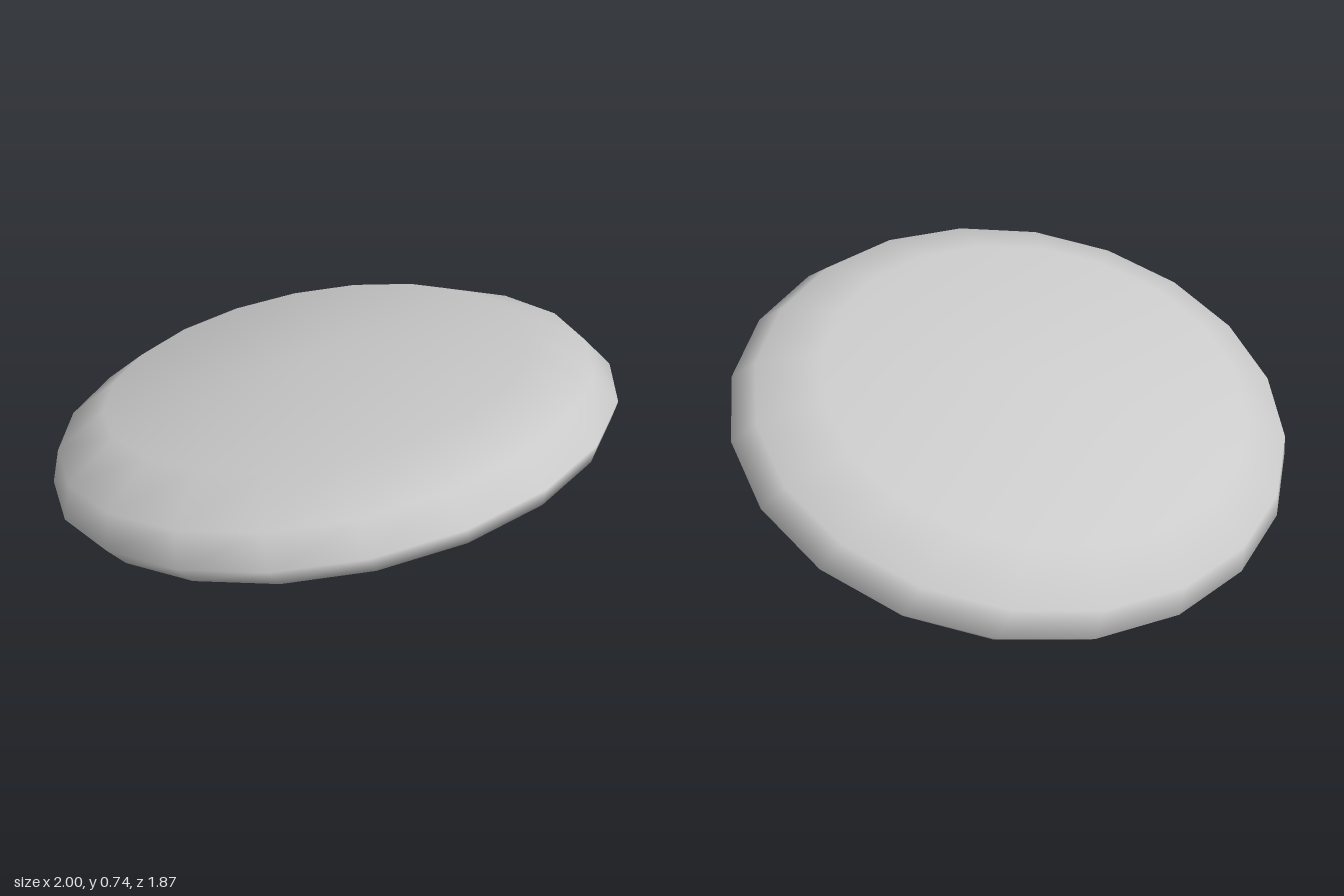
import * as THREE from 'three';

const SIDES = 20;

// Tilted elliptical rings from the stem's foot to the cap's top:
// [half width in x, front z, front y, back z, back y]
const RINGS = [
  [0.345, 0.27, 0.015, -0.38, 0.0],   // open foot
  [0.385, 0.38, 0.2, -0.33, 0.1],     // stem
  [0.46, 0.45, 0.43, -0.4, 0.16],     // neck
  [0.62, 0.65, 0.49, -0.52, 0.2],     // flare under the cap
  [0.95, 0.93, 0.56, -0.86, 0.125],   // lower rim
  [1.0, 0.94, 0.625, -0.93, 0.185],   // widest rim
  [0.945, 0.84, 0.7, -0.93, 0.29],    // upper rim
  [0.745, 0.61, 0.74, -0.8, 0.42],    // shoulder
];
const TOP = [0, 0.625, -0.13];
const LOWER_RIM = 4;

export function createModel() {
  const positions = [];
  for (const [rx, zf, yf, zb, yb] of RINGS) {
    for (let j = 0; j < SIDES; j++) {
      const a = (j / SIDES) * Math.PI * 2;
      const t = (1 + Math.cos(a)) / 2; // 1 at the front, 0 at the back
      positions.push(rx * Math.sin(a), yb + (yf - yb) * t, zb + (zf - zb) * t);
    }
  }
  positions.push(...TOP);

  // Wall of quads between neighbouring rings
  const wall = (from, to) => {
    const index = [];
    for (let i = from; i < to; i++) {
      for (let j = 0; j < SIDES; j++) {
        const k = (j + 1) % SIDES;
        const a = i * SIDES + j, b = i * SIDES + k;
        index.push(a, b, b + SIDES, a, b + SIDES, a + SIDES);
      }
    }
    return index;
  };
  const last = RINGS.length - 1;
  const stemIndex = wall(0, LOWER_RIM);
  const capIndex = wall(LOWER_RIM, last);
  for (let j = 0; j < SIDES; j++) {
    capIndex.push(last * SIDES + j, last * SIDES + ((j + 1) % SIDES), RINGS.length * SIDES);
  }

  // Smooth normals over the whole skin, shared by both parts
  const skin = new THREE.BufferGeometry();
  skin.setAttribute('position', new THREE.Float32BufferAttribute(positions, 3));
  skin.setIndex([...stemIndex, ...capIndex]);
  skin.computeVertexNormals();

  const material = new THREE.MeshStandardMaterial({ color: 0xcccccc, side: THREE.DoubleSide });
  const group = new THREE.Group();
  group.name = 'mushroom';
  const addPart = (name, index) => {
    const geometry = new THREE.BufferGeometry();
    geometry.setAttribute('position', skin.getAttribute('position'));
    geometry.setAttribute('normal', skin.getAttribute('normal'));
    geometry.setIndex(index);
    const mesh = new THREE.Mesh(geometry, material);
    mesh.name = name;
    group.add(mesh);
  };
  addPart('stemAndUnderside', stemIndex);
  addPart('cap', capIndex);
  return group;
}
